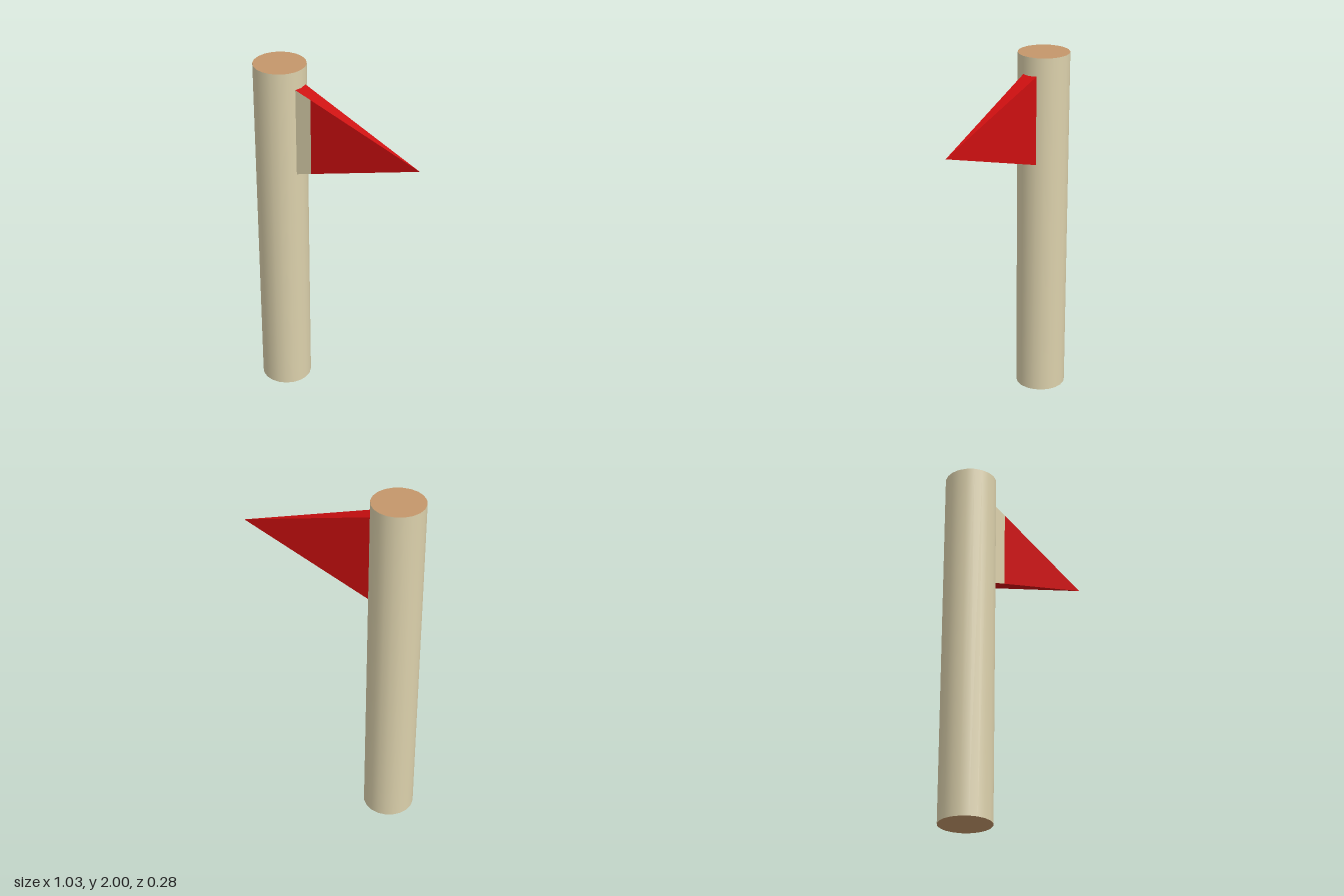
import * as THREE from 'three';

const wood = new THREE.MeshStandardMaterial({ name: 'pale wood', color: 0xdcd1ac });
const cutWood = new THREE.MeshStandardMaterial({ name: 'cut wood', color: 0xc4966a });
const red = new THREE.MeshStandardMaterial({ name: 'pennant red', color: 0xcd0f10 });

// Flat faces from convex outlines given counter-clockwise as seen from outside
function faces(name, material, outlines) {
  const points = [];
  for (const o of outlines) {
    for (let i = 1; i < o.length - 1; i++) points.push(o[0], o[i], o[i + 1]);
  }
  const geometry = new THREE.BufferGeometry().setFromPoints(points);
  geometry.computeVertexNormals();
  const mesh = new THREE.Mesh(geometry, material);
  mesh.name = name;
  return mesh;
}

export function createModel() {
  const model = new THREE.Group();
  model.name = 'pennantPole';

  // Round pole with cut ends
  const pole = new THREE.Mesh(
    new THREE.CylinderGeometry(0.142, 0.142, 2, 20),
    [wood, cutWood, cutWood]
  );
  pole.name = 'pole';
  pole.position.set(-0.374, 1, 0);
  model.add(pole);

  // Pennant: a four-sided wedge tapering to a point
  const x = -0.24, top = 1.9, bottom = 1.4, half = 0.043;
  const tip = new THREE.Vector3(0.514, 1.65, 0);
  const frontTop = new THREE.Vector3(x, top, half);
  const frontBottom = new THREE.Vector3(x, bottom, half);
  const backTop = new THREE.Vector3(x, top, -half);
  const backBottom = new THREE.Vector3(x, bottom, -half);

  // The front face is divided where the sleeve ends
  const split = 0.126;
  const sleeveTop = frontTop.clone().lerp(tip, split);
  const sleeveBottom = frontBottom.clone().lerp(tip, split);

  const pennant = new THREE.Group();
  pennant.name = 'pennant';
  pennant.add(
    faces('pennantCloth', red, [
      [sleeveTop, sleeveBottom, tip],
      [frontTop, tip, backTop],
      [backTop, tip, backBottom],
      [frontBottom, backBottom, tip],
      [frontTop, backTop, backBottom, frontBottom],
    ]),
    faces('pennantSleeve', wood, [[frontTop, frontBottom, sleeveBottom, sleeveTop]])
  );
  model.add(pennant);

  return model;
}
